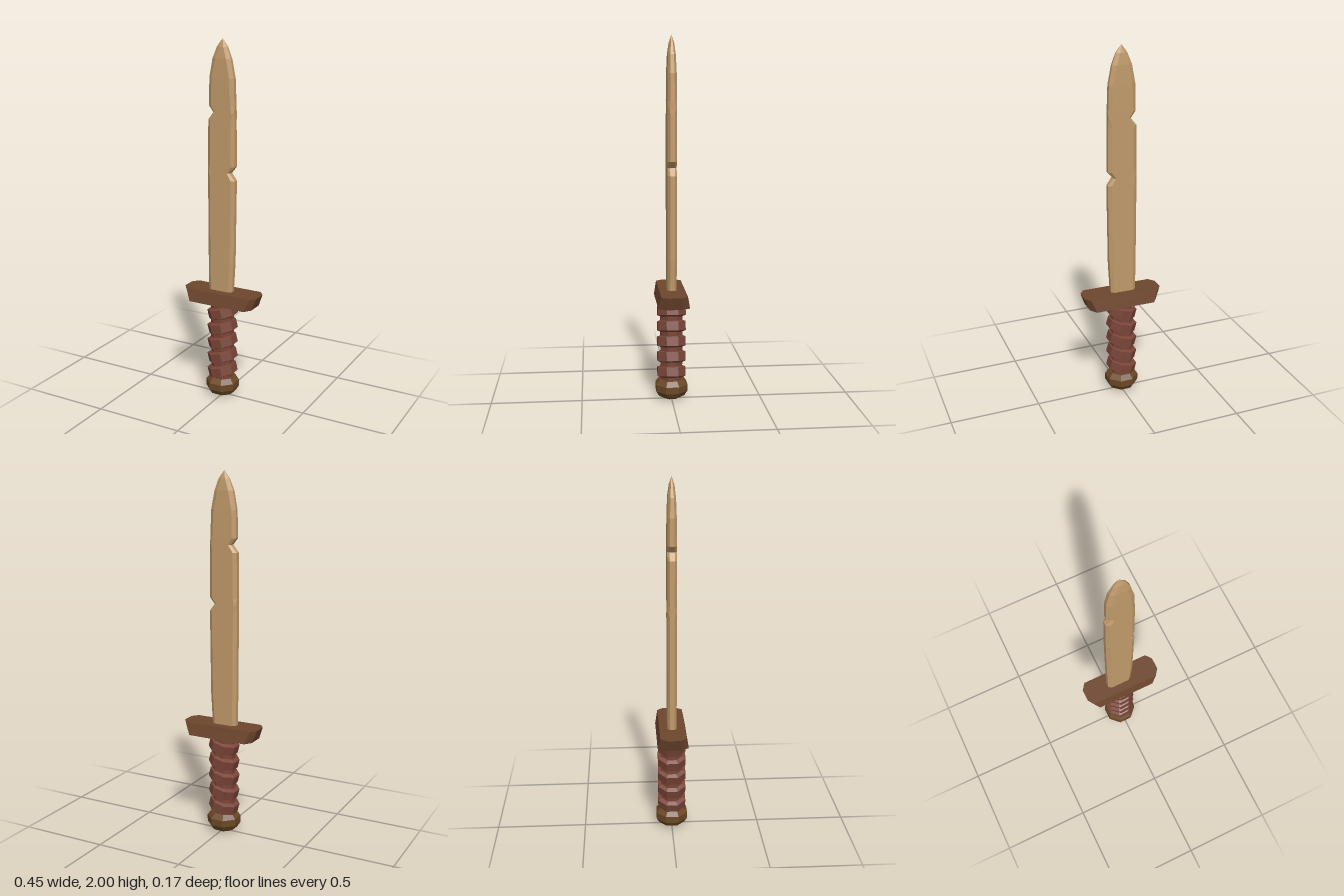
import * as THREE from 'three';

const mat = (color) => new THREE.MeshStandardMaterial({ color, flatShading: true });
const CX = -0.005; // shared axis of blade, grip and pommel

function addMesh(parent, name, geometry, material) {
  const mesh = new THREE.Mesh(geometry, material);
  mesh.name = name;
  parent.add(mesh);
  return mesh;
}

// Skins a stack of equal-length rings (counter-clockwise from above) and caps both ends.
function loft(rings) {
  const pos = [];
  const tri = (a, b, c) => pos.push(...a, ...b, ...c);
  const n = rings[0].length;
  for (let r = 0; r < rings.length - 1; r++) {
    const lo = rings[r], hi = rings[r + 1];
    for (let i = 0; i < n; i++) {
      const j = (i + 1) % n;
      tri(lo[i], lo[j], hi[j]);
      tri(lo[i], hi[j], hi[i]);
    }
  }
  const bottom = rings[0], top = rings[rings.length - 1];
  for (let i = 1; i < n - 1; i++) {
    tri(bottom[0], bottom[i + 1], bottom[i]);
    tri(top[0], top[i], top[i + 1]);
  }
  const geo = new THREE.BufferGeometry();
  geo.setAttribute('position', new THREE.Float32BufferAttribute(pos, 3));
  geo.computeVertexNormals();
  return geo;
}

// Eight-cornered section: flat ends of half depth e, flat sides of half depth t, corners cut by b.
function section(y, xl, xr, t, e, b) {
  return [
    [xr, y, e], [xr, y, -e], [xr - b, y, -t], [xl + b, y, -t],
    [xl, y, -e], [xl, y, e], [xl + b, y, t], [xr - b, y, t],
  ];
}

// Octagonal turned part; profile holds [flat-to-centre distance, y], from bottom to top.
function octagonal(profile) {
  const points = profile.map(([a, y]) => new THREE.Vector2(a / Math.cos(Math.PI / 8), y));
  return new THREE.LatheGeometry(points, 8, Math.PI / 8);
}

export function createModel() {
  const group = new THREE.Group();
  const bladeWood = mat(0xc09a6a);
  const guardWood = mat(0x6f472e);
  const leather = mat(0x7a4538);
  const pommelWood = mat(0x6b4826);

  // Blade rows: y, left edge, right edge, half thickness, half edge, bevel
  const rows = [
    [0.60, -0.083, 0.058, 0.025, 0.012, 0.018],
    [0.80, -0.086, 0.070, 0.025, 0.012, 0.018],
    [1.26, -0.088, 0.076, 0.025, 0.012, 0.018],
    [1.30, -0.087, 0.045, 0.025, 0.015, 0.012], // nick in the left edge
    [1.335, -0.087, 0.075, 0.025, 0.012, 0.018],
    [1.58, -0.085, 0.073, 0.025, 0.012, 0.018],
    [1.62, -0.052, 0.072, 0.025, 0.015, 0.012], // nick in the right edge
    [1.655, -0.080, 0.072, 0.025, 0.012, 0.018],
    [1.80, -0.078, 0.067, 0.024, 0.011, 0.020],
    [1.90, -0.060, 0.048, 0.021, 0.009, 0.022],
    [1.96, -0.036, 0.026, 0.014, 0.005, 0.020],
    [2.00, CX - 0.002, CX + 0.002, 0.001, 0.0005, 0.001],
  ];
  addMesh(group, 'blade', loft(rows.map((r) => section(...r))), bladeWood);

  // Crossguard: longer at the top, deeper at the bottom
  addMesh(group, 'crossguard', loft([
    section(0.56, -0.198, 0.198, 0.085, 0.045, 0.028),
    section(0.63, -0.225, 0.225, 0.071, 0.035, 0.028),
  ]), guardWood);

  // Grip core
  const core = addMesh(group, 'gripCore', octagonal([[0.058, 0.09], [0.06, 0.33], [0.06, 0.57]]), leather);
  core.position.x = CX;

  // Slanted wrapping bands
  const wrap = new THREE.Group();
  wrap.name = 'gripWrap';
  group.add(wrap);
  const bandGeometry = octagonal([[0.055, -0.034], [0.077, -0.025], [0.077, 0.025], [0.055, 0.034]]);
  for (let i = 0; i < 5; i++) {
    const band = addMesh(wrap, 'wrapBand', bandGeometry, leather);
    band.position.set(CX, 0.505 - i * 0.0875, 0);
    band.rotation.z = 0.26;
  }

  // Pommel
  const pommel = addMesh(group, 'pommel', octagonal([
    [0, 0], [0.042, 0.005], [0.07, 0.022], [0.087, 0.05], [0.087, 0.088], [0.066, 0.115], [0, 0.115],
  ]), pommelWood);
  pommel.position.x = CX;

  return group;
}
